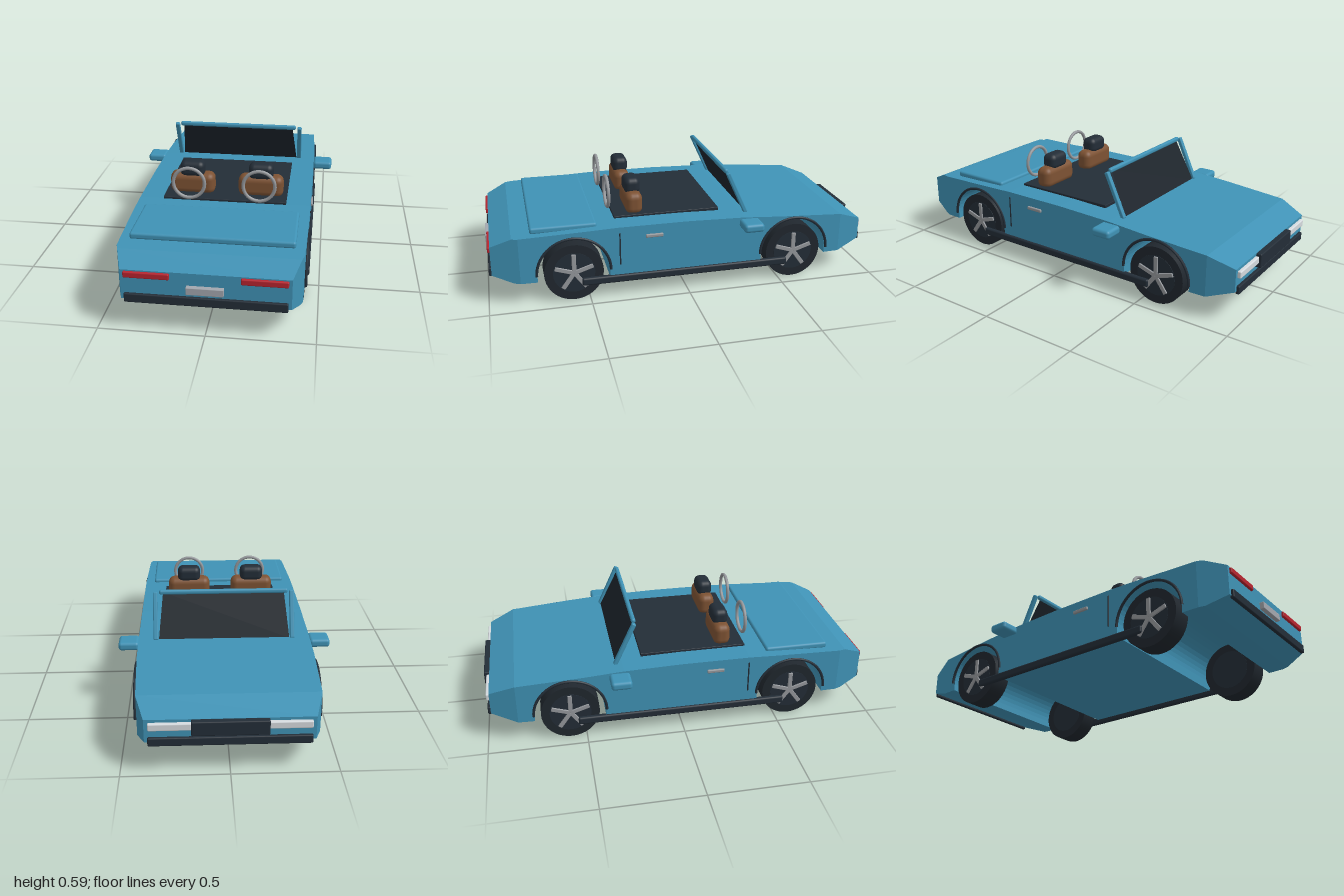
import * as THREE from 'three';
import { RoundedBoxGeometry } from 'three/addons/geometries/RoundedBoxGeometry.js';

const mat = (name, color) => Object.assign(new THREE.MeshStandardMaterial({ color }), { name });

// Piecewise-linear lookup over [z, value] pairs sorted by rising z
function lerpTable(table, z) {
  for (let i = 1; i < table.length; i++) {
    const [z0, v0] = table[i - 1], [z1, v1] = table[i];
    if (z <= z1) return v0 + (v1 - v0) * (z - z0) / (z1 - z0);
  }
  return table[table.length - 1][1];
}

const AXLE_Z = 0.577, AXLE_Y = 0.15, ARCH_R = 0.18, FLOOR = 0.1;
const TOP = [[-0.97, 0.275], [-0.84, 0.325], [-0.3, 0.362], [0, 0.37], [0.35, 0.37], [0.87, 0.352], [0.975, 0.305]];
const HALF = [[-0.97, 0.385], [-0.84, 0.425], [-0.5, 0.438], [0.5, 0.438], [0.84, 0.43], [0.975, 0.385]];

// Body: rectangular sections lofted along z, the underside rising over the wheel arches
function bodyGeometry() {
  const stations = [[0.975, 0.155], [0.87, 0.117], [0.84, 0.115]];
  const arch = (zc, before, after) => {
    stations.push([zc + ARCH_R, before]);
    for (let i = 0; i <= 24; i++) {
      const a = Math.PI * i / 24;
      stations.push([zc + ARCH_R * Math.cos(a), AXLE_Y + ARCH_R * Math.sin(a)]);
    }
    stations.push([zc - ARCH_R, after]);
  };
  arch(AXLE_Z, 0.115, FLOOR);
  for (const z of [0.35, 0, -0.3]) stations.push([z, FLOOR]);
  arch(-AXLE_Z, FLOOR, 0.115);
  stations.push([-0.84, 0.115], [-0.97, 0.16]);

  const pos = [], index = [];
  stations.forEach(([z, yb], i) => {
    const w = lerpTable(HALF, z), yt = lerpTable(TOP, z);
    pos.push(w, yb, z, w, yt, z, -w, yt, z, -w, yb, z);
    if (i === 0) return;
    for (let j = 0; j < 4; j++) {
      const k = (j + 1) % 4, a = (i - 1) * 4 + j, b = (i - 1) * 4 + k, c = i * 4 + j, d = i * 4 + k;
      index.push(a, c, d, a, d, b);
    }
  });
  const e = (stations.length - 1) * 4;
  index.push(0, 1, 2, 0, 2, 3, e, e + 2, e + 1, e, e + 3, e + 2);
  const indexed = new THREE.BufferGeometry();
  indexed.setAttribute('position', new THREE.Float32BufferAttribute(pos, 3));
  indexed.setIndex(index);
  const g = indexed.toNonIndexed();
  g.computeVertexNormals();
  return g;
}

export function createModel() {
  const car = new THREE.Group();
  car.name = 'roadster';
  const paint = mat('bluePaint', 0x3f92b5), dark = mat('darkTrim', 0x232d37), rubber = mat('tyreRubber', 0x20272e);
  const glass = mat('darkGlass', 0x1c242b), leather = mat('brownLeather', 0x7d5233), chrome = mat('silver', 0x95989c);
  const red = mat('redLens', 0xb8242f), lamp = mat('lampLens', 0xd5dade), plateMat = mat('plateGrey', 0xa3a7ae);
  glass.side = THREE.DoubleSide;

  const add = (name, geo, material, x = 0, y = 0, z = 0, parent = car) => {
    const m = new THREE.Mesh(geo, material);
    m.name = name;
    m.position.set(x, y, z);
    parent.add(m);
    return m;
  };
  // Rounded box given by centre and size
  const box = (name, material, [x, y, z], [w, h, d], r = 0.006, parent = car) =>
    add(name, new RoundedBoxGeometry(w, h, d, 3, Math.min(r, w / 2.1, h / 2.1, d / 2.1)), material, x, y, z, parent);

  add('body', bodyGeometry(), paint);
  box('rearDeckLid', paint, [0, 0.368, 0.615], [0.775, 0.034, 0.33], 0.012);
  box('cockpitFloor', dark, [0, 0.371, 0.078], [0.63, 0.02, 0.55], 0.003);

  // Windscreen: glass, header rail and side posts leaning back
  const frame = { y0: 0.355, z0: -0.335, y1: 0.578, z1: -0.232 };
  const lean = Math.atan2(frame.z1 - frame.z0, frame.y1 - frame.y0);
  const length = Math.hypot(frame.z1 - frame.z0, frame.y1 - frame.y0);
  const pane = new THREE.Shape([[-0.335, 0], [0.335, 0], [0.31, length], [-0.31, length]].map(p => new THREE.Vector2(...p)));
  const screen = add('windscreenGlass', new THREE.ShapeGeometry(pane), glass, 0, frame.y0, frame.z0);
  screen.rotation.x = lean;
  box('windscreenHeader', paint, [0, 0.578, -0.232], [0.66, 0.025, 0.022], 0.01);

  // Lights, bumpers, plate and grille
  box('rearBumper', dark, [0, 0.166, 0.978], [0.74, 0.045, 0.02]);
  box('numberPlate', plateMat, [0, 0.226, 0.982], [0.17, 0.036, 0.03], 0.003);
  box('frontBumper', dark, [0, 0.166, -0.975], [0.74, 0.042, 0.02]);
  box('grille', dark, [0, 0.238, -0.982], [0.35, 0.072, 0.032]);

  for (const s of [1, -1]) {
    const post = box('windscreenPost', paint, [s * 0.35, 0.467, -0.283], [0.024, 0.245, 0.022], 0.006);
    post.rotation.x = lean;
    box('mirror', paint, [s * 0.488, 0.337, -0.323], [0.104, 0.044, 0.104], 0.016);
    box('tailLight', red, [s * 0.265, 0.284, 0.977], [0.21, 0.03, 0.02]);
    box('headlight', lamp, [s * 0.27, 0.243, -0.976], [0.195, 0.036, 0.022]);
    box('sill', dark, [s * 0.436, 0.096, 0], [0.028, 0.04, 1.08], 0.01);
    box('doorGap', dark, [s * 0.438, 0.255, 0.345], [0.006, 0.17, 0.007], 0.002);
    box('doorHandle', chrome, [s * 0.441, 0.313, 0.17], [0.014, 0.018, 0.09], 0.005);

    // Seat back, headrest and the hoop behind it
    box('seatBack', leather, [s * 0.178, 0.425, 0.24], [0.233, 0.115, 0.088], 0.035);
    box('headrest', dark, [s * 0.178, 0.503, 0.24], [0.128, 0.086, 0.082], 0.03);
    add('hoop', new THREE.TorusGeometry(0.08, 0.009, 10, 40), chrome, s * 0.178, 0.47, 0.368);

    for (const e of [1, -1]) {
      // Dark lip around the arch
      const lip = add('archTrim', new THREE.TorusGeometry(0.184, 0.007, 8, 32, Math.PI), dark, s * 0.438, AXLE_Y, e * AXLE_Z);
      lip.rotation.y = Math.PI / 2;

      // Wheel: tyre, rim disc and five spokes, built facing +x
      const wheel = new THREE.Group();
      wheel.name = 'wheel';
      wheel.position.set(s * 0.38, 0.148, e * AXLE_Z);
      wheel.rotation.y = s > 0 ? 0 : Math.PI;
      car.add(wheel);
      const tyre = add('tyre', new THREE.CylinderGeometry(0.148, 0.148, 0.1, 40), rubber, 0, 0, 0, wheel);
      tyre.rotation.z = Math.PI / 2;
      const rim = add('rimDisc', new THREE.CylinderGeometry(0.105, 0.105, 0.104, 32), dark, 0, 0, 0, wheel);
      rim.rotation.z = Math.PI / 2;
      for (let i = 0; i < 5; i++) {
        const a = i * Math.PI * 2 / 5;
        const spoke = box('spoke', chrome, [0.053, 0.05 * Math.cos(a), 0.05 * Math.sin(a)], [0.012, 0.1, 0.022], 0.003, wheel);
        spoke.rotation.x = a;
      }
    }
  }
  return car;
}
